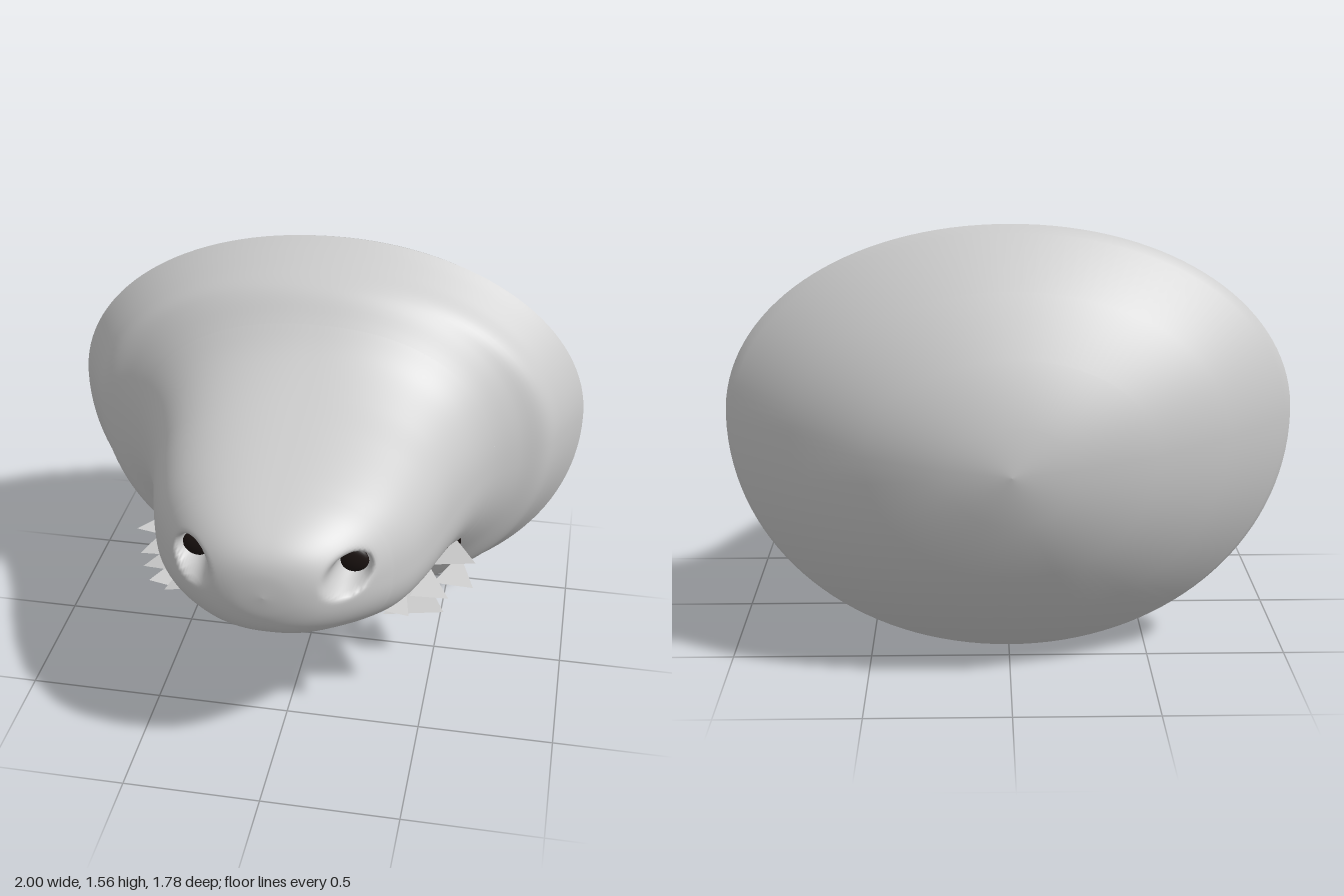
import * as THREE from 'three';

const skin = new THREE.MeshStandardMaterial({ color: 0xcccccc });
const fold = new THREE.MeshStandardMaterial({ color: 0xcccccc, side: THREE.DoubleSide });
const dark = new THREE.MeshStandardMaterial({ color: 0x1c1412 });

// Head sections: z, half width, top y, bottom y, y of the widest point, squareness
const DOME = [[-0.89, 0], [-0.87, 0.22], [-0.79, 0.49], [-0.64, 0.75], [-0.46, 0.97], [-0.405, 1]]
  .map(([z, s]) => [z, s, 0.8 + 0.76 * s, 0.8 - 0.8 * s, 0.8 + 0.08 * s, 2.05]);
const FRONT = [
  [-0.405, 1.0, 1.56, 0.0, 0.88, 2.05],
  [-0.35, 0.965, 1.535, 0.03, 0.88, 2.05],
  [-0.27, 0.92, 1.505, 0.065, 0.87, 2.05],
  [-0.19, 0.87, 1.475, 0.11, 0.86, 2.1],
  [-0.13, 0.78, 1.44, 0.205, 0.84, 2.15],
  [-0.05, 0.69, 1.36, 0.28, 0.82, 2.25],
  [0.05, 0.625, 1.28, 0.33, 0.79, 2.35],
  [0.2, 0.565, 1.205, 0.375, 0.76, 2.5],
  [0.35, 0.525, 1.155, 0.41, 0.75, 2.5],
  [0.5, 0.475, 1.11, 0.452, 0.75, 2.5],
  [0.6, 0.425, 1.08, 0.495, 0.76, 2.5],
  [0.7, 0.36, 1.045, 0.545, 0.78, 2.5],
  [0.79, 0.28, 1.0, 0.59, 0.8, 2.4],
  [0.85, 0.2, 0.95, 0.645, 0.8, 2.3],
  [0.88, 0.11, 0.89, 0.715, 0.8, 2.1],
  [0.89, 0.0, 0.8, 0.8, 0.8, 2],
];
const MOUTH = 5, CHIN = 9;
const NOSTRIL = { x: 0.27, y: 0.85 };

// Smooth section between table rows
function sectionAt(rows, t) {
  const n = rows.length - 1, i = Math.min(Math.floor(t), n - 1), u = t - i;
  const a = rows[Math.max(i - 1, 0)], b = rows[i], c = rows[i + 1], d = rows[Math.min(i + 2, n)];
  return b.map((v, k) => v + 0.5 * u * (c[k] - a[k]
    + u * (2 * a[k] - 5 * v + 4 * c[k] - d[k] + u * (3 * (v - c[k]) + d[k] - a[k]))));
}

function sections(rows, from, to, sub) {
  const list = [];
  for (let i = 0; i <= (to - from) * sub; i++) list.push(sectionAt(rows, from + i / sub));
  return list;
}

// Points of one section between two angles; nostrils are pressed into the nose
function arc([z, w, top, bottom, cy, p], a0, a1, count) {
  const points = [];
  for (let j = 0; j < count; j++) {
    const a = a0 + (a1 - a0) * j / (count - 1), c = Math.cos(a), s = Math.sin(a);
    const x = Math.max(w, 0) * Math.sign(c) * Math.abs(c) ** (2 / p);
    const y = cy + (s > 0 ? top - cy : cy - bottom) * Math.sign(s) * Math.abs(s) ** (2 / p);
    const d = Math.hypot(Math.abs(x) - NOSTRIL.x, y - NOSTRIL.y);
    const pit = z > 0.6 ? 0.18 * Math.exp(-((d / 0.058) ** 4)) : 0;
    points.push([x, y, z - pit]);
  }
  return points;
}

// Skin over rows of points running back to front
function loft(rings, closed) {
  const n = rings[0].length, index = [];
  for (let i = 0; i < rings.length - 1; i++) {
    for (let j = 0; j < (closed ? n : n - 1); j++) {
      const k = (j + 1) % n, a = i * n + j, b = i * n + k;
      index.push(a, b, a + n, b, b + n, a + n);
    }
  }
  const g = new THREE.BufferGeometry();
  g.setAttribute('position', new THREE.Float32BufferAttribute(rings.flat(2), 3));
  g.setIndex(index);
  g.computeVertexNormals();
  return g;
}

// Angle below the horizontal at which a section reaches height y
function cutAngle([, , , bottom, cy, p], y) {
  const r = THREE.MathUtils.clamp((cy - y) / Math.max(cy - bottom, 1e-4), 0, 1);
  return Math.asin(r ** (p / 2));
}

export function createModel() {
  const model = new THREE.Group();
  const add = (name, geometry, material = skin, parent = model) => {
    const mesh = new THREE.Mesh(geometry, material);
    mesh.name = name;
    parent.add(mesh);
    return mesh;
  };
  const fullRing = (s) => arc(s, 0, Math.PI * 2, 129).slice(0, -1);

  // Domed back and the flared rim in front of it
  add('backDome', loft(DOME.map(fullRing), true));
  add('headRim', loft(sections(FRONT, 0, MOUTH, 5).map(fullRing), true));

  // Upper jaw and snout, with a flat palate
  const upper = sections(FRONT, MOUTH, FRONT.length - 1, 8).map((s) => {
    const a = cutAngle(s, 0.485 + 0.025 * THREE.MathUtils.smoothstep(s[0], 0.08, 0.25));
    return arc(s, -a, Math.PI + a, 150);
  });
  add('snout', loft(upper, false));
  add('palate', loft(upper.map((r) => [r[r.length - 1], r[0]]), false));

  // Lower jaw, tapering to a thin lip
  const lower = sections(FRONT, MOUTH, CHIN, 6).map((s) => {
    const a = cutAngle(s, 0.47 - 0.034 * Math.max(s[0], 0));
    return arc(s, Math.PI + a, Math.PI * 2 - a, 60);
  });
  add('lowerJaw', loft(lower, false));
  add('mouthFloor', loft(lower.map((r) => [r[r.length - 1], r[0]]), false));

  // Dark back of the mouth
  add('mouthBack', new THREE.BoxGeometry(1.16, 0.05, 0.02), dark).position.set(0, 0.483, -0.04);

  // Nostril hollows and ragged folds at the mouth corners, on both sides
  const folds = [
    [[0.56, 0.5, -0.04], [0.655, 0.53, 0.16], [0.5, 0.52, 0.18]],
    [[0.58, 0.43, -0.04], [0.65, 0.41, 0.15], [0.5, 0.43, 0.17]],
    [[0.48, 0.51, 0.17], [0.575, 0.5, 0.36], [0.44, 0.53, 0.41]],
    [[0.45, 0.44, 0.12], [0.56, 0.43, 0.35], [0.34, 0.42, 0.39]],
    [[0.42, 0.52, 0.36], [0.45, 0.52, 0.52], [0.36, 0.54, 0.53]],
  ];
  for (const side of [1, -1]) {
    const name = side > 0 ? 'left' : 'right';
    const hole = add(name + 'Nostril', new THREE.SphereGeometry(1, 24, 12), dark);
    hole.scale.set(0.056, 0.05, 0.02);
    hole.position.set(side * NOSTRIL.x, NOSTRIL.y, 0.675);
    const group = new THREE.Group();
    group.name = name + 'MouthFolds';
    model.add(group);
    for (const corners of folds) {
      const g = new THREE.BufferGeometry();
      const points = corners.map(([x, y, z]) => [x * side, y, z]).flat();
      g.setAttribute('position', new THREE.Float32BufferAttribute(points, 3));
      g.computeVertexNormals();
      add('skinFold', g, fold, group);
    }
  }
  return model;
}
